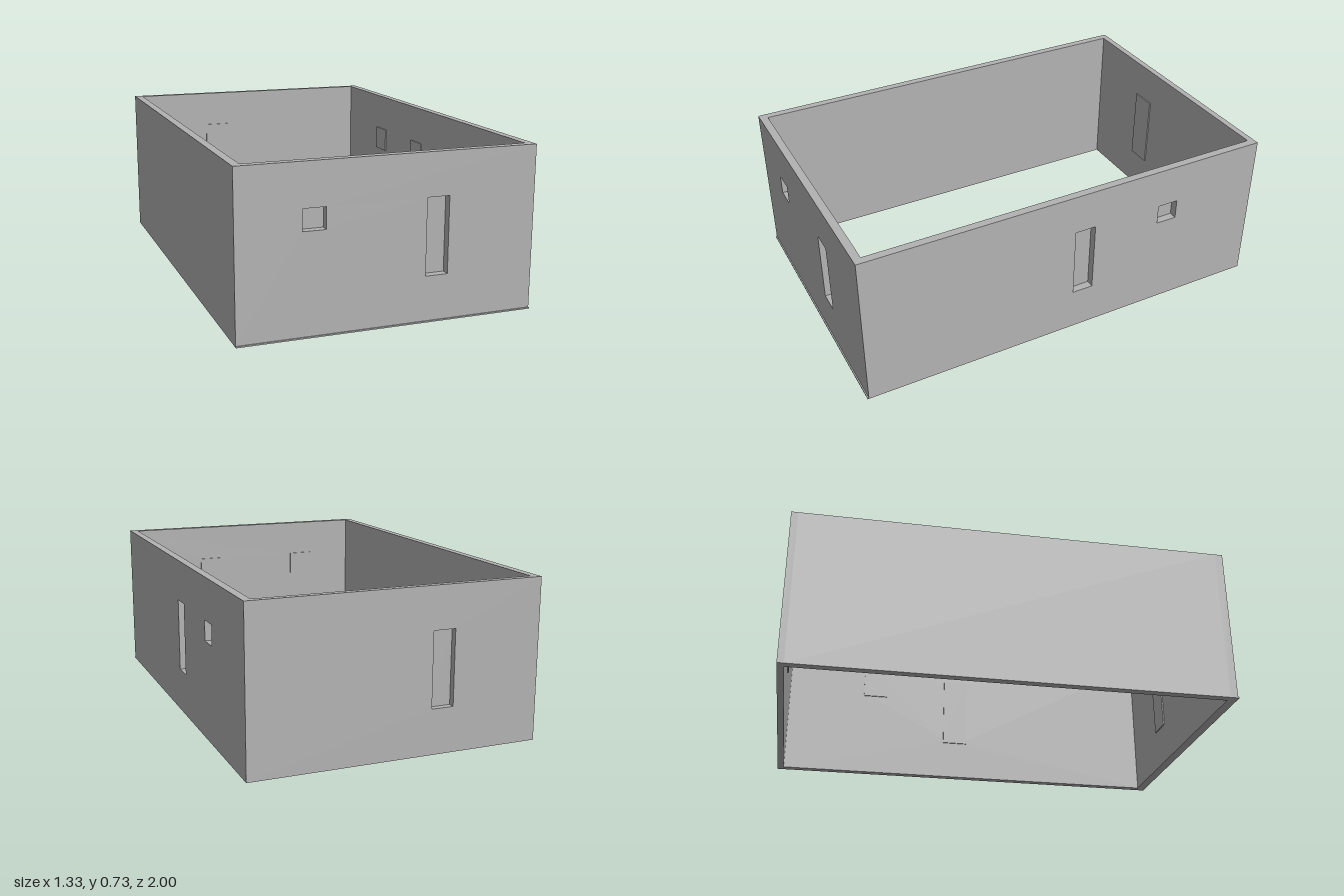
import * as THREE from 'three';

const HEIGHT = 0.73, HALF_X = 0.663, INNER_X = 0.626;
const FRONT = 0.994, INNER_FRONT = 0.957, BACK = 1, INNER_BACK = 0.97;
const PANEL = 0.006, MARGIN = 0.012;

function rect(target, u0, u1, v0, v1) {
  target.moveTo(u0, v0);
  target.lineTo(u1, v0);
  target.lineTo(u1, v1);
  target.lineTo(u0, v1);
  target.closePath();
  return target;
}

export function createModel() {
  const model = new THREE.Group();
  const grey = new THREE.MeshStandardMaterial({ color: 0xb2b2b2 });
  grey.name = 'plain grey';

  // One wall: its local +z points outward, z = 0 is the inner face.
  // Openings are [u0, u1, v0, v1], each closed by a thin panel on the inside.
  function addWall(name, u0, u1, thickness, openings, angle, x, z) {
    const wall = new THREE.Group();
    wall.name = name;
    const shape = rect(new THREE.Shape(), u0, u1, 0, HEIGHT);
    openings.forEach((o) => shape.holes.push(rect(new THREE.Path(), ...o)));
    const slab = new THREE.Mesh(
      new THREE.ExtrudeGeometry(shape, { depth: thickness, bevelEnabled: false }), grey);
    slab.name = name + 'Slab';
    wall.add(slab);
    openings.forEach(([a, b, c, d], i) => {
      const panel = new THREE.Mesh(
        new THREE.BoxGeometry(b - a + 2 * MARGIN, d - c + 2 * MARGIN, PANEL), grey);
      panel.name = name + 'Panel' + (i + 1);
      panel.position.set((a + b) / 2, (c + d) / 2, -PANEL / 2);
      wall.add(panel);
    });
    wall.rotation.y = angle;
    wall.position.set(x, 0, z);
    model.add(wall);
  }

  // Tall slots and small square windows share a top line
  const slot = (u) => [u, u + 0.101, 0.203, 0.54];
  const square = (u) => [u, u + 0.101, 0.447, 0.54];
  const sideT = HALF_X - INNER_X;

  addWall('frontWall', -HALF_X, HALF_X, FRONT - INNER_FRONT,
    [square(-0.383), slot(0.16)], 0, 0, INNER_FRONT);
  addWall('backWall', -HALF_X, HALF_X, BACK - INNER_BACK,
    [slot(0.154)], Math.PI, 0, -INNER_BACK);
  addWall('leftWall', -INNER_FRONT, INNER_BACK, sideT,
    [slot(0.021), square(0.461)], Math.PI / 2, INNER_X, 0);
  addWall('rightWall', -INNER_BACK, INNER_FRONT, sideT, [], -Math.PI / 2, -INNER_X, 0);

  // Small lip along the foot of the front wall
  const lip = new THREE.Mesh(new THREE.BoxGeometry(2 * HALF_X, 0.006, 1 - FRONT), grey);
  lip.name = 'frontLip';
  lip.position.set(0, 0.003, (1 + FRONT) / 2);
  model.add(lip);

  return model;
}
